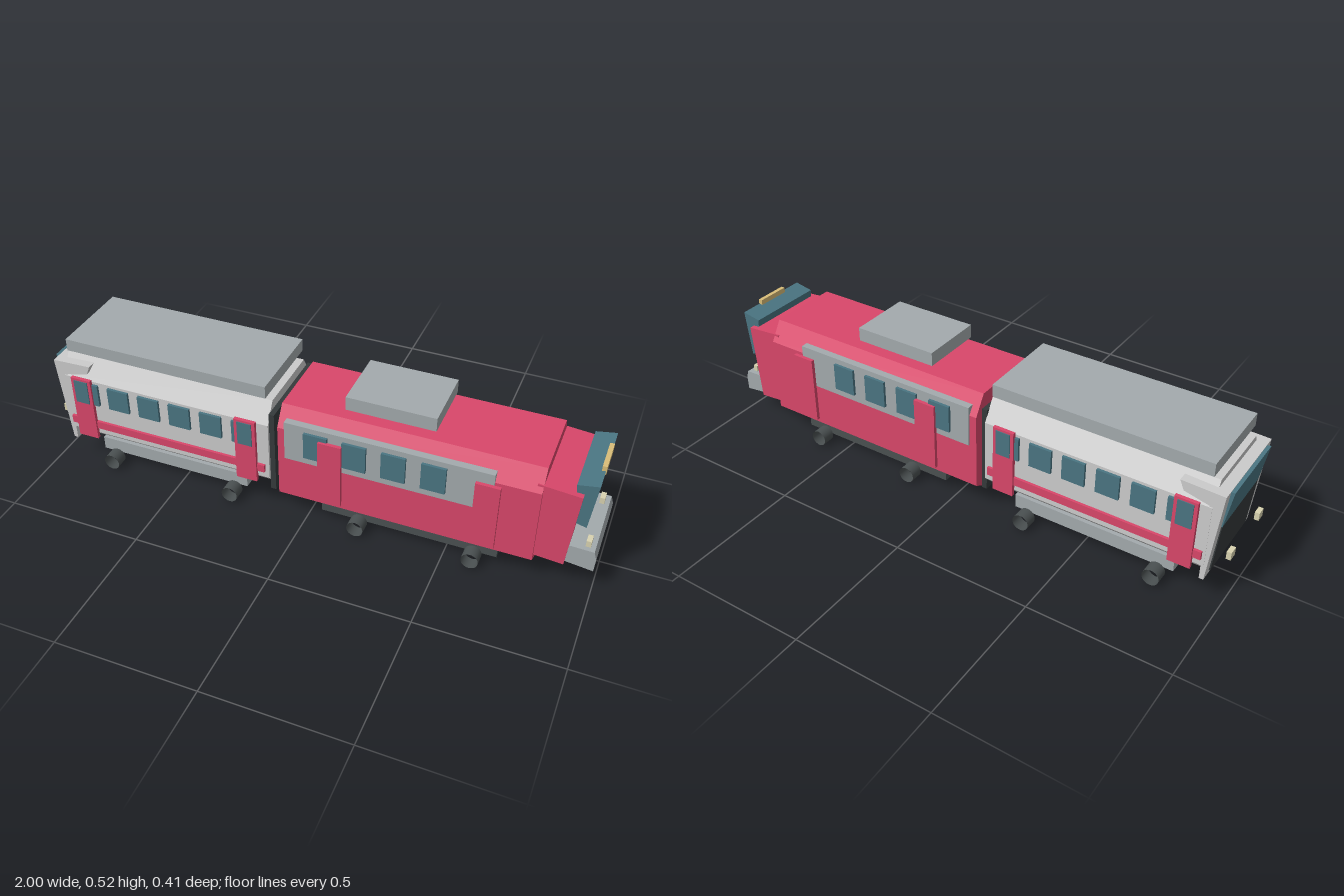
import * as THREE from 'three';

const mat = (color, side = THREE.FrontSide) => new THREE.MeshStandardMaterial({ color, side });
const RED = mat(0xd9476a), SILVER = mat(0xbdbdbd), PANEL = mat(0xa3aaad), GLASS = mat(0x4a7582);
const DARK = mat(0x4a5051), BLACK = mat(0x353a3b), LAMP = mat(0xd9d3b0), SIGN = mat(0xd9bd78);
const WHEEL = mat(0x4a5051, THREE.DoubleSide);

export function createModel() {
  const model = new THREE.Group();
  const frontCar = new THREE.Group(), rearCar = new THREE.Group();
  frontCar.name = 'frontCar';
  rearCar.name = 'rearCar';
  model.add(frontCar, rearCar);

  function add(parent, name, geometry, material) {
    const mesh = new THREE.Mesh(geometry, material);
    mesh.name = name;
    parent.add(mesh);
    return mesh;
  }

  // Box given by its extents on each axis
  function box(parent, name, material, [x0, x1], [y0, y1], [z0, z1]) {
    const mesh = add(parent, name, new THREE.BoxGeometry(x1 - x0, y1 - y0, z1 - z0), material);
    mesh.position.set((x0 + x1) / 2, (y0 + y1) / 2, (z0 + z1) / 2);
    return mesh;
  }

  // The same box on both flanks
  function pair(parent, name, material, xs, ys, [z0, z1]) {
    box(parent, name + 'Left', material, xs, ys, [z0, z1]);
    box(parent, name + 'Right', material, xs, ys, [-z1, -z0]);
  }

  const extrude = (points, depth) => new THREE.ExtrudeGeometry(
    new THREE.Shape(points.map(p => new THREE.Vector2(...p))), { depth, bevelEnabled: false });

  // Side outline (x, y) extruded across the car
  function across(parent, name, material, outline, half) {
    add(parent, name, extrude(outline, half * 2).translate(0, 0, -half), material);
  }

  // Half cross-section (z, y) mirrored and extruded along the car
  function along(parent, name, material, half, x0, x1) {
    const outline = [...half, ...half.map(([z, y]) => [-z, y]).reverse()];
    add(parent, name, extrude(outline, x1 - x0).rotateY(Math.PI / 2).translate(x0, 0, 0), material);
  }

  function wheels(parent, positions) {
    for (const x of positions) for (const s of [1, -1]) {
      const g = new THREE.CylinderGeometry(0.03, 0.03, 0.047, 24, 1, true).rotateX(Math.PI / 2);
      add(parent, 'wheel', g, WHEEL).position.set(x, 0.03, s * 0.174);
    }
  }

  // Front car: chamfered shell and tapered nose
  along(frontCar, 'frontBody', RED,
    [[0.125, 0.063], [0.178, 0.093], [0.178, 0.375], [0.133, 0.447]], -0.1, 0.8);
  across(frontCar, 'nose', RED, [[0.78, 0.11], [0.9, 0.1], [0.923, 0.39], [0.78, 0.402]], 0.166);
  across(frontCar, 'windscreen', GLASS,
    [[0.914, 0.268], [0.948, 0.26], [0.966, 0.433], [0.895, 0.42]], 0.146);
  box(frontCar, 'destinationSign', SIGN, [0.953, 0.968], [0.419, 0.45], [-0.063, 0.063]);
  across(frontCar, 'bumper', PANEL,
    [[0.84, 0.107], [0.995, 0.088], [0.997, 0.14], [0.988, 0.168], [0.86, 0.172]], 0.148);
  pair(frontCar, 'headlamp', LAMP, [0.955, 0.972], [0.165, 0.192], [0.096, 0.13]);
  box(frontCar, 'frontRoofUnit', PANEL, [0.12, 0.432], [0.47, 0.52], [-0.117, 0.117]);
  box(frontCar, 'frontUnderframe', DARK, [0.05, 0.68], [0.034, 0.078], [-0.148, 0.148]);

  // Front car sides
  pair(frontCar, 'windowBand', PANEL, [-0.073, 0.65], [0.257, 0.408], [0.15, 0.184]);
  for (let i = 0; i < 4; i++) {
    const x = i * 0.137;
    pair(frontCar, 'frontWindow', GLASS, [x, x + 0.084], [0.287, 0.388], [0.182, 0.194]);
  }
  for (const x of [0.055, 0.592])
    pair(frontCar, 'frontDoor', RED, [x, x + 0.083], [0.12, 0.373], [0.19, 0.203]);
  wheels(frontCar, [0.19, 0.6]);

  // Rear car: shell with a deep lower chamfer
  along(rearCar, 'rearBody', SILVER,
    [[0.125, 0.09], [0.178, 0.143], [0.178, 0.37], [0.133, 0.447]], -0.935, -0.135);
  box(rearCar, 'rearRoofUnit', PANEL, [-0.92, -0.15], [0.467, 0.513], [-0.158, 0.158]);
  box(rearCar, 'rearUnderframe', PANEL, [-0.83, -0.24], [0.047, 0.098], [-0.148, 0.148]);
  box(model, 'gangway', BLACK, [-0.136, -0.116], [0.09, 0.412], [-0.168, 0.168]);

  // Rear cab end with brow, window and lower panel
  across(rearCar, 'rearCab', SILVER, [[-0.94, 0.09], [-0.925, 0.09], [-0.925, 0.375],
    [-0.84, 0.395], [-0.825, 0.43], [-0.972, 0.425]], 0.177);
  across(rearCar, 'rearCabWindow', GLASS,
    [[-0.962, 0.285], [-0.945, 0.285], [-0.945, 0.418], [-0.985, 0.424]], 0.142);
  across(rearCar, 'rearCabPanel', BLACK,
    [[-0.946, 0.105], [-0.93, 0.105], [-0.93, 0.285], [-0.962, 0.285]], 0.142);
  pair(rearCar, 'tailLamp', LAMP, [-1, -0.984], [0.163, 0.192], [0.096, 0.13]);

  // Rear car sides
  pair(rearCar, 'sideStripe', RED, [-0.925, -0.15], [0.17, 0.2], [0.17, 0.188]);
  for (let i = 0; i < 6; i++) {
    const x = -0.88 + i * 0.122;
    pair(rearCar, 'rearWindow', GLASS, [x, x + 0.082], [0.273, 0.36], [0.175, 0.188]);
  }
  for (const x of [-0.898, -0.255]) {
    pair(rearCar, 'rearDoor', RED, [x, x + 0.078], [0.127, 0.38], [0.182, 0.195]);
    pair(rearCar, 'rearDoorWindow', GLASS, [x + 0.012, x + 0.066], [0.28, 0.372], [0.19, 0.198]);
  }
  wheels(rearCar, [-0.775, -0.29]);

  return model;
}
